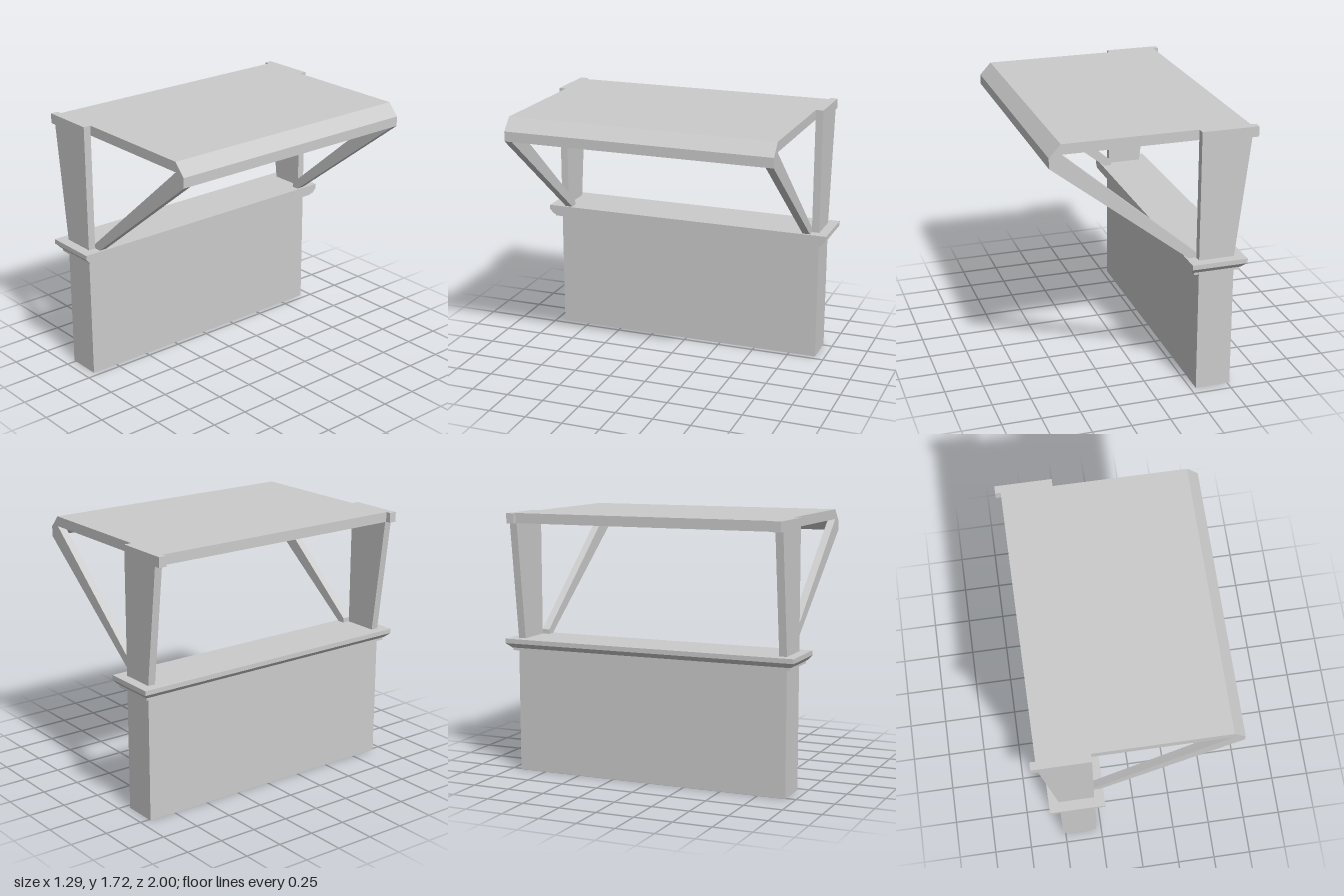
import * as THREE from 'three';

const material = new THREE.MeshStandardMaterial({ color: 0xcccccc });

function add(group, name, geometry) {
  const mesh = new THREE.Mesh(geometry, material);
  mesh.name = name;
  group.add(mesh);
  return mesh;
}

// Side profile in x and y, extruded from z0 to z1
function profile(points, z0, z1) {
  const shape = new THREE.Shape(points.map(([x, y]) => new THREE.Vector2(x, y)));
  const geometry = new THREE.ExtrudeGeometry(shape, { depth: z1 - z0, bevelEnabled: false });
  return geometry.translate(0, 0, z0);
}

// Block between a lower and an upper rectangle, each given as [xMin, xMax, zHalf]
function block(lower, upper, y0, y1) {
  const geometry = new THREE.BoxGeometry(1, 1, 1).toNonIndexed();
  const p = geometry.attributes.position;
  for (let i = 0; i < p.count; i++) {
    const top = p.getY(i) > 0;
    const [xMin, xMax, zHalf] = top ? upper : lower;
    p.setXYZ(i, p.getX(i) > 0 ? xMax : xMin, top ? y1 : y0, Math.sign(p.getZ(i)) * zHalf);
  }
  geometry.computeVertexNormals();
  return geometry;
}

export function createModel() {
  const model = new THREE.Group();
  model.name = 'marketStall';

  // Solid front wall
  const wall = [-0.515, -0.285, 0.935];
  add(model, 'counterWall', block(wall, wall, 0, 0.82));

  // Counter: trim strip, chamfered underside and slab
  const counter = new THREE.Group();
  counter.name = 'counter';
  model.add(counter);
  const strip = [-0.54, -0.24, 0.965];
  const slab = [-0.58, -0.22, 1];
  add(counter, 'counterTrim', block(strip, strip, 0.81, 0.83));
  add(counter, 'counterChamfer', block([-0.545, -0.22, 0.97], slab, 0.828, 0.86));
  add(counter, 'counterSlab', block(slab, slab, 0.86, 0.89));

  // Roof with a downturned, chamfered lip
  add(model, 'roof', profile([
    [-0.615, 1.655], [0.572, 1.655], [0.645, 1.575],
    [0.645, 1.64], [0.572, 1.72], [-0.615, 1.72],
  ], -0.885, 0.885));

  // Flared post with cap and diagonal brace at each end
  for (const [side, s] of [['left', 1], ['right', -1]]) {
    const place = (name, points, inner, outer) =>
      add(model, side + name, profile(points, Math.min(s * inner, s * outer), Math.max(s * inner, s * outer)));
    place('Post', [[-0.515, 0.89], [-0.285, 0.89], [-0.285, 1.655], [-0.607, 1.655]], 0.885, 0.935);
    place('PostCap', [[-0.65, 1.655], [-0.285, 1.655], [-0.285, 1.72], [-0.65, 1.72]], 0.885, 0.935);
    place('Brace', [
      [-0.285, 0.89], [-0.235, 0.89], [0.645, 1.575], [0.572, 1.655], [-0.285, 0.92],
    ], 0.835, 0.885);
  }
  return model;
}
